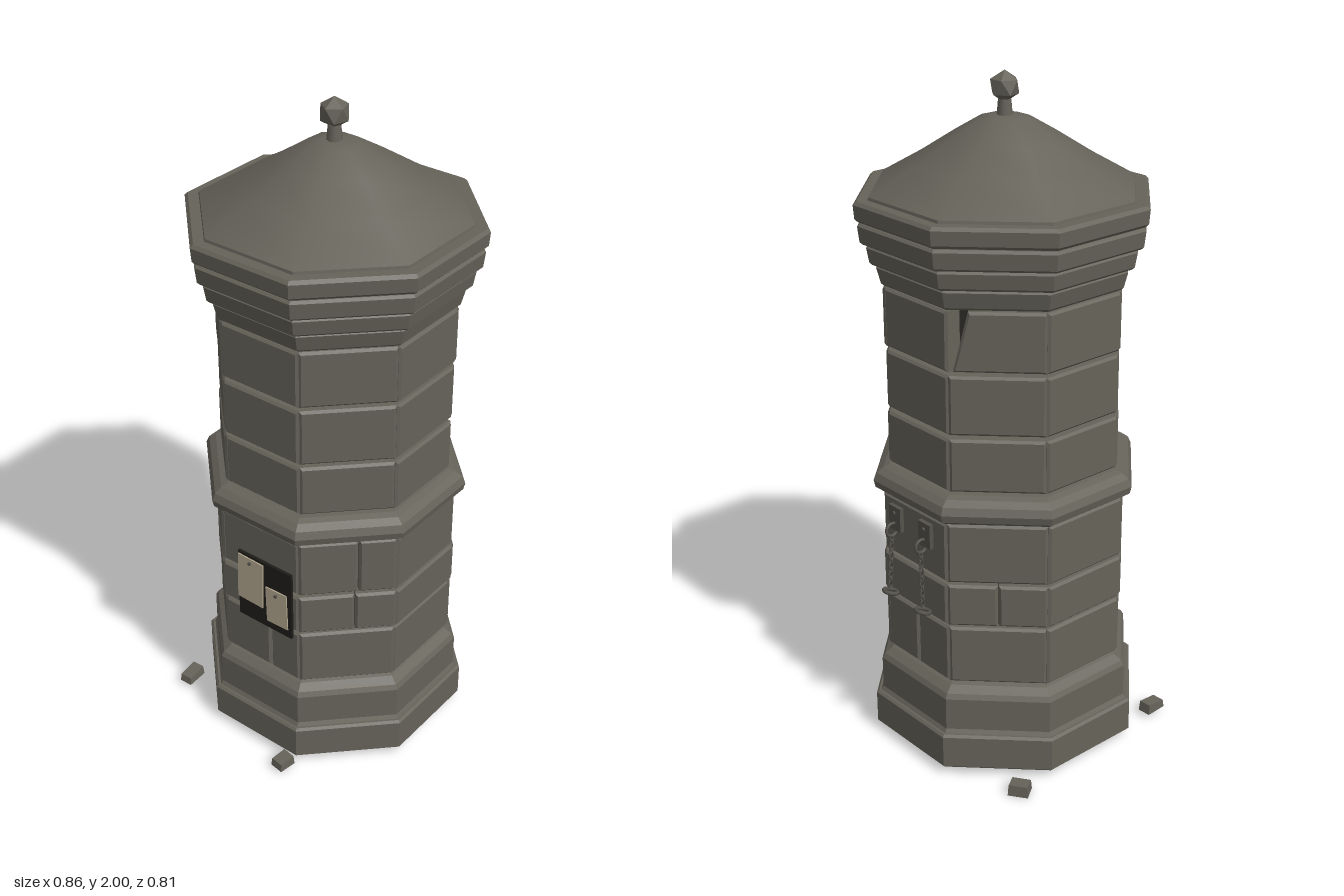
import * as THREE from 'three';

const CX = 0.023, CZ = 0.005;           // tower axis
const T = Math.tan(Math.PI / 8), C = Math.cos(Math.PI / 8);

function material(name, color) {
  const m = new THREE.MeshStandardMaterial({ color });
  m.name = name;
  return m;
}

export function createModel() {
  const stone = material('stone', 0x66635a);
  const recess = material('dark recess', 0x2a2825);
  const iron = material('iron', 0x55524c);
  const darkBoard = material('dark board', 0x1f1d1a);
  const paper = material('old paper', 0xb5a990);

  const model = new THREE.Group();
  model.name = 'stoneTower';
  const tower = new THREE.Group();
  tower.name = 'tower';
  tower.position.set(CX, 0, CZ);
  model.add(tower);

  let seed = 7;
  const rand = () => (seed = (seed * 16807) % 2147483647) / 2147483647;

  function add(parent, name, geo, mat, x = 0, y = 0, z = 0) {
    const mesh = new THREE.Mesh(geo, mat);
    mesh.name = name;
    mesh.position.set(x, y, z);
    parent.add(mesh);
    return mesh;
  }

  // Octagonal ring from [apothem, y] pairs, listed from bottom to top
  function octagon(name, profile, mat = stone, smooth = false) {
    const pts = profile.map(([a, y]) => new THREE.Vector2(a / C, y));
    let geo = new THREE.LatheGeometry(pts, 8, Math.PI / 8);
    if (!smooth) {
      geo = geo.toNonIndexed();
      geo.computeVertexNormals();
    }
    return add(tower, name, geo, mat);
  }

  // Chamfered octagonal slab
  const slab = (name, a, y0, y1, b = 0.007, aTop = a) => octagon(name, [
    [0, y0], [a - b, y0], [a, y0 + b], [aTop, y1 - b], [aTop - b, y1], [0, y1]]);

  // Foot and plinth
  slab('foot', 0.385, 0.025, 0.138);
  octagon('plinth', [[0.374, 0.134], [0.365, 0.15], [0.365, 0.25], [0.357, 0.265],
    [0.335, 0.282], [0.315, 0.29], [0, 0.29]]);

  // Inner cores behind the joints
  octagon('lowerCore', [[0, 0.28], [0.312, 0.28], [0.312, 0.82], [0, 0.82]], recess);
  octagon('upperCore', [[0, 0.87], [0.285, 0.87], [0.285, 1.45], [0, 1.45]], recess);
  octagon('corniceCore', [[0, 1.44], [0.32, 1.44], [0.335, 1.5], [0.358, 1.56], [0.378, 1.63], [0, 1.65]]);

  // One chamfered block on face k; lean moves its top left corner sideways
  function block(k, a, t0, t1, y0, y1, lean) {
    const b = 0.007, depth = 0.04;
    const s = new THREE.Shape([
      new THREE.Vector2(t0 + b, y0 + b), new THREE.Vector2(t1 - b, y0 + b),
      new THREE.Vector2(t1 - b, y1 - b), new THREE.Vector2(t0 + b + lean, y1 - b)]);
    const geo = new THREE.ExtrudeGeometry(s, {
      depth, bevelEnabled: true, bevelSize: b, bevelThickness: b, bevelSegments: 1 });
    geo.translate(0, 0, a - depth - b);
    geo.rotateY(k * Math.PI / 4);
    add(tower, 'wallBlock', geo, stone);
  }

  // Courses: apothem, bottom, top, extra joints per face, leaning blocks per face
  const courses = [
    { a: 0.343, y0: 0.297, y1: 0.477, joints: { 1: -0.01, 2: 0.0, 6: 0.03 } },
    { a: 0.348, y0: 0.488, y1: 0.618, joints: { 1: -0.03, 3: 0.0, 7: 0.02 } },
    { a: 0.345, y0: 0.625, y1: 0.808, joints: { 7: 0.03 }, lean: { 1: 0.012 } },
    { a: 0.326, y0: 0.9, y1: 1.058, lean: { 1: 0.058 } },
    { a: 0.326, y0: 1.07, y1: 1.243 },
    { a: 0.328, y0: 1.255, y1: 1.427, lean: { 3: 0.04 } },
  ];
  for (const { a, y0, y1, joints = {}, lean = {} } of courses) {
    for (let k = 0; k < 8; k++) {
      const w = a * T - 0.002;
      const face = a + (rand() - 0.5) * 0.004;
      const start = -w + (lean[k] ? 0.015 : 0);
      const edges = k in joints ? [start, joints[k], w] : [start, w];
      for (let i = 0; i < edges.length - 1; i++) {
        block(k, face, edges[i] + (i ? 0.003 : 0), edges[i + 1], y0, y1, i ? 0 : lean[k] || 0);
      }
    }
  }

  // Rounded belt between the two storeys
  octagon('belt', [[0.29, 0.812], [0.35, 0.814], [0.366, 0.826], [0.371, 0.848],
    [0.362, 0.87], [0.343, 0.885], [0.325, 0.892], [0.28, 0.895]]);

  // Stepped cornice
  slab('corniceStep', 0.332, 1.433, 1.492, 0.007, 0.343);
  slab('corniceStep', 0.36, 1.495, 1.551, 0.007, 0.367);
  slab('corniceStep', 0.383, 1.555, 1.614, 0.007, 0.388);
  slab('corniceStep', 0.394, 1.618, 1.676, 0.009, 0.397);

  // Roof and finial
  octagon('roofEdge', [[0.36, 1.67], [0.357, 1.684]]);
  octagon('roof', [[0.357, 1.684], [0.24, 1.757], [0.14, 1.826], [0.065, 1.874],
    [0.03, 1.88], [0, 1.881]], stone, true);
  add(tower, 'finialNeck', new THREE.CylinderGeometry(0.018, 0.022, 0.045, 8), stone, 0, 1.9, 0);
  const ball = add(tower, 'finialBall', new THREE.IcosahedronGeometry(0.044, 0), stone, 0, 1.956, 0);
  ball.rotation.z = Math.atan(2 / (1 + Math.sqrt(5)));

  // Wall shackles on the +x face
  function shackle(z) {
    const g = new THREE.Group();
    g.name = 'shackle';
    g.position.set(0.345, 0, z);
    tower.add(g);
    add(g, 'wallPlate', new THREE.BoxGeometry(0.016, 0.075, 0.052), iron, 0.006, 0.75, 0);
    const rivet = add(g, 'rivet', new THREE.CylinderGeometry(0.006, 0.006, 0.008, 6), iron, 0.016, 0.768, 0);
    rivet.rotation.z = Math.PI / 2;
    add(g, 'ring', new THREE.TorusGeometry(0.02, 0.005, 6, 12), iron, 0.025, 0.718, 0);
    for (let i = 0; i < 11; i++) {
      const link = add(g, 'chainLink', new THREE.TorusGeometry(0.007, 0.0025, 5, 8), iron,
        0.026 + i * 0.0005, 0.692 - i * 0.0155, Math.sign(z) * 0.0008 * i);
      link.scale.y = 1.35;
      link.rotation.y = i % 2 ? Math.PI / 2 : 0;
    }
    const cuff = add(g, 'cuff', new THREE.TorusGeometry(0.021, 0.006, 6, 14), iron,
      0.031, 0.514, Math.sign(z) * 0.008);
    cuff.rotation.set(Math.PI / 2, 0.3, 0);
  }
  shackle(0.075);
  shackle(-0.06);

  // Notice board with sheets on the -x face
  const notices = new THREE.Group();
  notices.name = 'noticeBoard';
  notices.position.set(-0.352, 0, 0);
  tower.add(notices);
  add(notices, 'board', new THREE.BoxGeometry(0.009, 0.235, 0.2), darkBoard, 0, 0.58, 0.025);
  const sheets = [[-0.025, 0.61, 0.095, 0.16, 0.03], [0.073, 0.555, 0.078, 0.125, -0.03]];
  for (const [z, y, w, h, tilt] of sheets) {
    const sheet = add(notices, 'sheet', new THREE.BoxGeometry(0.004, h, w), paper, -0.008, y, z);
    sheet.rotation.x = tilt;
    add(notices, 'nail', new THREE.BoxGeometry(0.008, 0.008, 0.008), iron, -0.012, y + h / 2 - 0.015, z);
  }

  // Fallen stones around the foot: x, bottom, z, width, height, depth, turn
  const rubble = [[-0.285, 0.016, -0.335, 0.07, 0.028, 0.042, 0.05],
    [0.295, 0.002, -0.365, 0.052, 0.032, 0.06, 0.6], [-0.4, 0.013, 0.143, 0.055, 0.028, 0.045, -0.15]];
  for (const [x, y, z, w, h, d, turn] of rubble) {
    const geo = new THREE.BoxGeometry(w, h, d).toNonIndexed();
    const p = geo.attributes.position;
    for (let i = 0; i < p.count; i++) {
      if (p.getY(i) > 0) p.setXYZ(i, p.getX(i) * 0.9, p.getY(i) + p.getX(i) * 0.1, p.getZ(i) * 0.92);
    }
    geo.computeVertexNormals();
    add(model, 'fallenStone', geo, stone, x, y + h / 2, z).rotation.y = turn;
  }

  return model;
}
